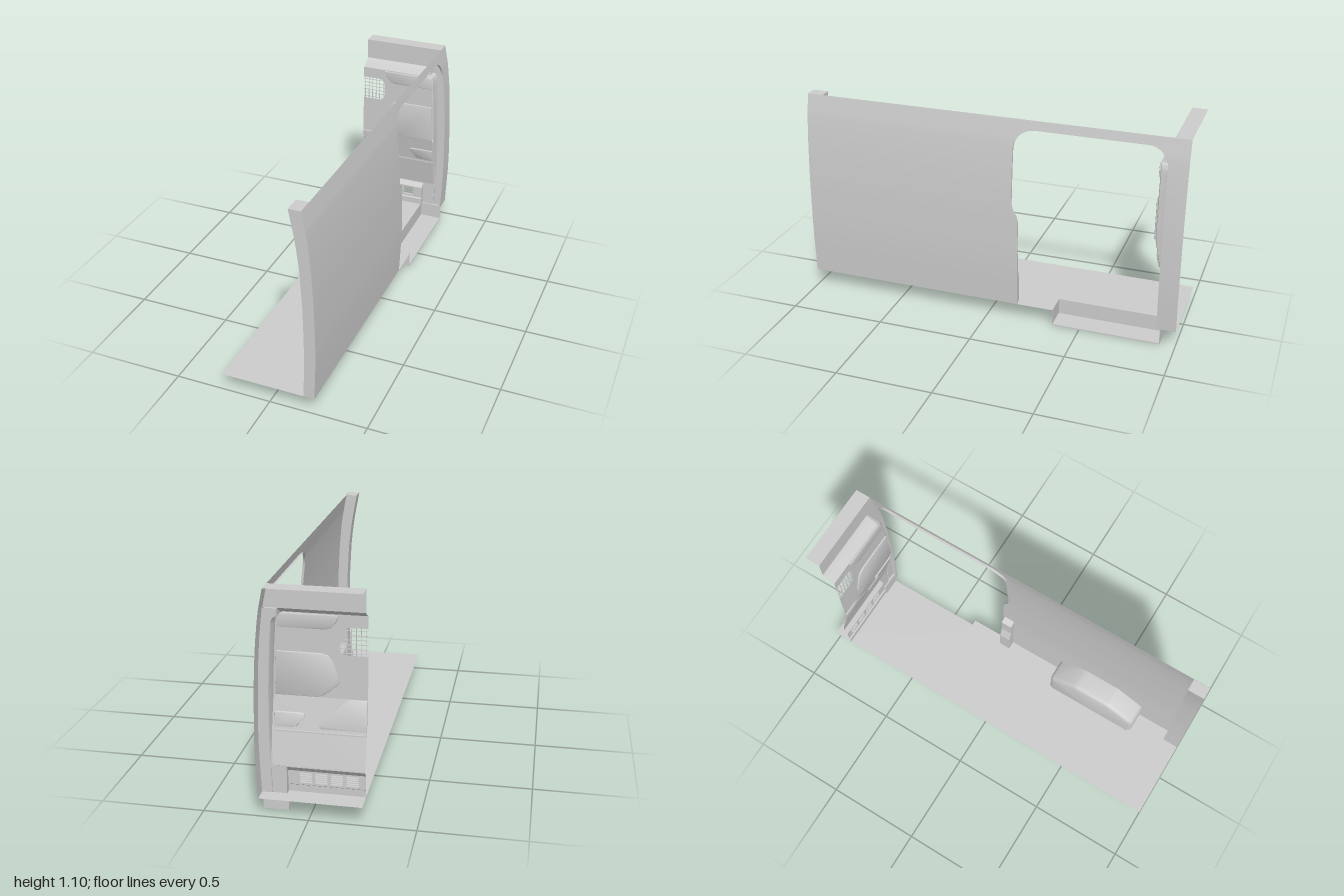
import * as THREE from 'three';
import { toCreasedNormals } from 'three/addons/utils/BufferGeometryUtils.js';

const grey = new THREE.MeshStandardMaterial({ color: 0xcccccc, side: THREE.DoubleSide });
const LEFT = -0.25, FLOOR = 0.09, TOP = 1.1, FLANGE_Z = -0.93;

// piecewise linear rule through [key, value] pairs
const lerpTable = (table) => (k) => {
  if (k <= table[0][0]) return table[0][1];
  for (let i = 1; i < table.length; i++) {
    const [k0, v0] = table[i - 1], [k1, v1] = table[i];
    if (k <= k1) return v0 + (v1 - v0) * (k - k0) / (k1 - k0);
  }
  return table[table.length - 1][1];
};
const wallX = lerpTable([[0.09, 0.235], [0.2, 0.24], [0.3, 0.244], [0.4, 0.245], [0.5, 0.243], [0.6, 0.241],
  [0.7, 0.237], [0.8, 0.231], [0.9, 0.223], [1, 0.21], [1.1, 0.19]]);
const pillarX = lerpTable([[0.09, 0.178], [0.2, 0.183], [0.4, 0.187], [0.6, 0.184], [0.8, 0.174], [0.95, 0.156], [1.1, 0.128]]);
const panelX = lerpTable([[0.09, 0.178], [0.4, 0.183], [0.6, 0.181], [0.8, 0.172], [0.925, 0.163], [0.945, 0.155], [0.955, 0.138], [0.99, 0.138]]);
const panelZ = lerpTable([[0.23, -0.925], [0.555, -0.857], [0.955, -0.857], [0.975, -0.9], [0.985, -0.915], [0.99, -0.92]]);

// surface through rows of points
function loft(rows, crease = 0.5) {
  const n = rows[0].length, index = [];
  for (let r = 0; r < rows.length - 1; r++)
    for (let i = 0; i < n - 1; i++) {
      const a = r * n + i, b = a + n;
      index.push(a, a + 1, b, b, a + 1, b + 1);
    }
  const g = new THREE.BufferGeometry();
  g.setAttribute('position', new THREE.Float32BufferAttribute(rows.flat(2), 3));
  g.setIndex(index);
  return toCreasedNormals(g, crease);
}
const polygon = (pts) => new THREE.Shape(pts.map(([x, y]) => new THREE.Vector2(x, y)));
const rect = (x0, y0, x1, y1) => polygon([[x0, y0], [x1, y0], [x1, y1], [x0, y1]]);
// push every vertex in z by a rule of height
function bend(g, zOf) {
  const p = g.attributes.position;
  for (let i = 0; i < p.count; i++) p.setZ(i, p.getZ(i) + zOf(p.getY(i)));
  g.computeVertexNormals();
  return g;
}
const range = (a, b, n) => Array.from({ length: n + 1 }, (_, i) => a + (b - a) * i / n);

export function createModel() {
  const model = new THREE.Group();
  const add = (name, geometry, parent = model) => {
    const m = new THREE.Mesh(geometry, grey);
    m.name = name;
    parent.add(m);
    return m;
  };
  const group = (name) => {
    const g = new THREE.Group();
    g.name = name;
    model.add(g);
    return g;
  };

  // curved side wall with a door opening
  const wall = group('sideWall');
  const corner = range(0, Math.PI / 2, 10);
  const ys = [0.09, 0.2, 0.3, 0.4, 0.5, 0.56, 0.59, 0.625, 0.65, 0.75, 0.85, ...corner.map((a) => 0.95 + 0.102 * Math.sin(a))];
  const rearEdge = (y) => y > 0.95 ? -0.13 - 0.11 * (1 - Math.sqrt(Math.max(0, 1 - ((y - 0.95) / 0.102) ** 2)))
    : lerpTable([[0.56, -0.165], [0.59, -0.158], [0.625, -0.138], [0.65, -0.13]])(y);
  const frontEdge = (y) => y > 0.95 ? -0.9 + 0.1 * (1 - Math.sqrt(Math.max(0, 1 - ((y - 0.95) / 0.102) ** 2))) : -0.9;
  add('rearWallSkin', loft(ys.map((y) => [[wallX(y), y, 1], [wallX(y), y, rearEdge(y)]])), wall);
  add('frontWallSkin', loft(ys.map((y) => [[wallX(y), y, frontEdge(y)], [wallX(y), y, -1]])), wall);
  add('doorHeader', loft([1.052, 1.075, 1.1].map((y) => [[wallX(y), y, 1], [wallX(y), y, -1]])), wall);
  const rim = [...ys.map((y) => [y, rearEdge(y)]), ...ys.slice().reverse().map((y) => [y, frontEdge(y)])];
  add('doorLip', loft(rim.map(([y, z]) => [[wallX(y), y, z], [wallX(y) - 0.012, y, z]])), wall);

  // solid pillar at the rear end
  const py = range(FLOOR, TOP, 16);
  const pillar = new THREE.ExtrudeGeometry(polygon([...py.map((y) => [wallX(y) - 0.001, y]),
    ...py.slice().reverse().map((y) => [pillarX(y), y])]), { depth: 0.085, bevelEnabled: false });
  add('rearPillar', toCreasedNormals(pillar.translate(0, 0, 0.915), 0.5));

  // small post at the foot of the door opening
  const post = new THREE.ExtrudeGeometry(polygon([[0.235, 0.09], [0.19, 0.09], [0.19, 0.22], [0.21, 0.28], [0.21, 0.37], [0.241, 0.39]]),
    { depth: 0.06, bevelEnabled: false });
  add('doorPost', post.translate(0, 0, -0.16));

  // floor with a notch for the step
  const floor = polygon([[LEFT, -1], [0.235, -1], [0.235, 0.355], [0.11, 0.355], [0.11, 0.92], [0.235, 0.92], [0.235, 1], [LEFT, 1]]);
  add('floor', new THREE.ShapeGeometry(floor).rotateX(-Math.PI / 2).translate(0, FLOOR, 0));

  // sunken step, open to the outside
  const step = group('stepWell');
  const box = (name, x0, x1, y0, y1, z0, z1, parent) =>
    add(name, new THREE.BoxGeometry(x1 - x0, y1 - y0, z1 - z0).translate((x0 + x1) / 2, (y0 + y1) / 2, (z0 + z1) / 2), parent);
  box('stepTread', 0.11, 0.232, 0, 0.006, -0.92, -0.355, step);
  box('stepRiser', 0.11, 0.112, 0, FLOOR, -0.92, -0.355, step);
  for (const z of [-0.92, -0.357]) box('stepEnd', 0.11, 0.232, 0, FLOOR, z, z + 0.002, step);

  // wheel arch, rounded towards the cabin
  const arch = [[0.21, 0.09], [0.21, 0.2], [0.215, 0.218], [0.228, 0.232], [0.35, 0.287], [0.365, 0.293], [0.385, 0.295],
    [0.555, 0.295], [0.575, 0.293], [0.59, 0.287], [0.712, 0.232], [0.725, 0.218], [0.73, 0.2], [0.73, 0.09]];
  add('wheelArch', loft([[0.235, 1], [0.138, 1], [0.127, 0.985], [0.119, 0.955], [0.115, 0.91], [0.115, 0]].map(([x, s]) =>
    arch.map(([z, y]) => [x, 0.09 + (y - 0.09) * s, 0.47 + (z - 0.47) * s])), 0.8));

  // bulkhead: flat and sloping bands of pressed sheet
  const bulkhead = group('bulkhead');
  const band = (y0, y1, holes = []) => {
    const side = range(y0, y1, y1 - y0 > 0.2 ? 40 : 4);
    const s = polygon([[LEFT, y0], ...side.map((y) => [panelX(y), y]), [LEFT, y1]]);
    s.holes = holes;
    add('bulkheadSheet', bend(new THREE.ShapeGeometry(s), panelZ), bulkhead);
  };
  const windowHole = new THREE.Path().moveTo(LEFT + 0.001, 0.765).lineTo(-0.15, 0.765)
    .quadraticCurveTo(-0.122, 0.768, -0.122, 0.8).lineTo(-0.122, 0.86)
    .quadraticCurveTo(-0.125, 0.895, -0.16, 0.895).lineTo(LEFT + 0.001, 0.895);
  band(0.23, 0.555);
  band(0.555, 0.955, [windowHole]);
  for (const [a, b] of [[0.955, 0.975], [0.975, 0.985], [0.985, 0.99]]) band(a, b);
  const sideYs = [...range(0.09, 0.9, 18), 0.925, 0.935, 0.945, 0.95, 0.955, 0.975, 0.99];
  add('bulkheadSide', loft(sideYs.map((y) => {
    const x = panelX(y), z = Math.max(panelZ(y), FLANGE_Z);
    return [[x, y, z], [x + 0.006, y, z - 0.004], [x + 0.009, y, Math.min(z, FLANGE_Z + 0.006)], [x + 0.012, y, FLANGE_Z]];
  })), bulkhead);
  add('bulkheadFlange', loft(sideYs.map((y) => [[panelX(y) + 0.012, y, FLANGE_Z], [wallX(y), y, FLANGE_Z]])), bulkhead);
  const hy = range(0.99, TOP, 4);
  add('headerFace', loft(hy.map((y) => [[LEFT, y, -0.92], [wallX(y), y, -0.92]])), bulkhead);
  add('roofStrip', loft([[[LEFT, TOP, -0.92], [0.19, TOP, -0.92]], [[LEFT, TOP, -1], [0.19, TOP, -1]]]), bulkhead);

  // raised pressings with softened edges
  const pressings = {
    upperPressing: [[-0.115, 0.947], [-0.1, 0.915], [-0.082, 0.894], [-0.055, 0.885], [0.162, 0.885], [0.157, 0.925], [0.148, 0.942], [0.132, 0.949]],
    middlePressing: [[-0.03, 0.765], [0.168, 0.765], [0.177, 0.56], [-0.02, 0.56], [-0.045, 0.569], [-0.108, 0.62], [-0.116, 0.635],
      [-0.113, 0.655], [-0.085, 0.735], [-0.065, 0.757]],
    lowerLeftPressing: [[-0.246, 0.55], [-0.17, 0.55], [-0.152, 0.543], [-0.04, 0.437], [-0.034, 0.425], [-0.04, 0.415], [-0.246, 0.415]],
    lowerRightPressing: [[0.05, 0.476], [0.178, 0.476], [0.178, 0.415], [0.1, 0.415], [0.08, 0.42], [0.042, 0.462], [0.042, 0.47]],
  };
  for (const [name, pts] of Object.entries(pressings)) {
    const g = new THREE.ExtrudeGeometry(polygon(pts), { depth: 0.003, bevelThickness: 0.005, bevelSize: 0.004, bevelSegments: 2 });
    add(name, toCreasedNormals(bend(g, panelZ), 0.6), bulkhead);
  }
  box('bulkheadRib', LEFT, 0.182, 0.392, 0.398, -0.9, -0.886, bulkhead);

  // wire mesh in the window
  const mesh = group('windowMesh');
  for (let i = 0; i < 6; i++) {
    const x = -0.24 + i * 0.022, y = 0.776 + i * 0.0215;
    const cut = i === 5 ? 0.02 : 0;
    box('meshUpright', x - 0.0015, x + 0.0015, 0.765 + cut, 0.895 - cut, -0.86, -0.857, mesh);
    box('meshRail', LEFT, -0.122 - (i === 5 ? 0.015 : 0), y - 0.0015, y + 0.0015, -0.86, -0.857, mesh);
  }

  // lower vent box with four sets of louvres
  const vent = group('ventBox');
  const ventFace = rect(LEFT, 0.13, 0.115, 0.2);
  for (let c = 0; c < 4; c++)
    for (let r = 0; r < 5; r++) {
      const x = -0.218 + c * 0.073, y = 0.14 + r * 0.0108;
      ventFace.holes.push(new THREE.Path([[x + 0.004, y], [x + 0.056, y], [x + 0.06, y + 0.004], [x + 0.056, y + 0.008],
        [x + 0.004, y + 0.008], [x, y + 0.004]].map((p) => new THREE.Vector2(...p))));
    }
  add('ventFace', new THREE.ShapeGeometry(ventFace).translate(0, 0, -0.904), vent);
  const ventProfile = [[0.23, -0.925], [0.225, -0.925], [0.2, -0.904], [0.13, -0.904], [0.125, -0.897], [0.09, -0.897]];
  for (const i of [0, 1, 3, 4])
    add('ventLedge', loft([i, i + 1].map((k) => [LEFT, 0.115].map((x) => [x, ...ventProfile[k]]))), vent);
  add('ventEnd', loft(ventProfile.map(([y, z]) => [[0.115, y, z], [0.115, y, FLANGE_Z]])), vent);
  add('ventSidePanel', new THREE.ShapeGeometry(rect(0.115, 0.09, 0.181, 0.23)).translate(0, 0, -0.926), vent);

  return model;
}
